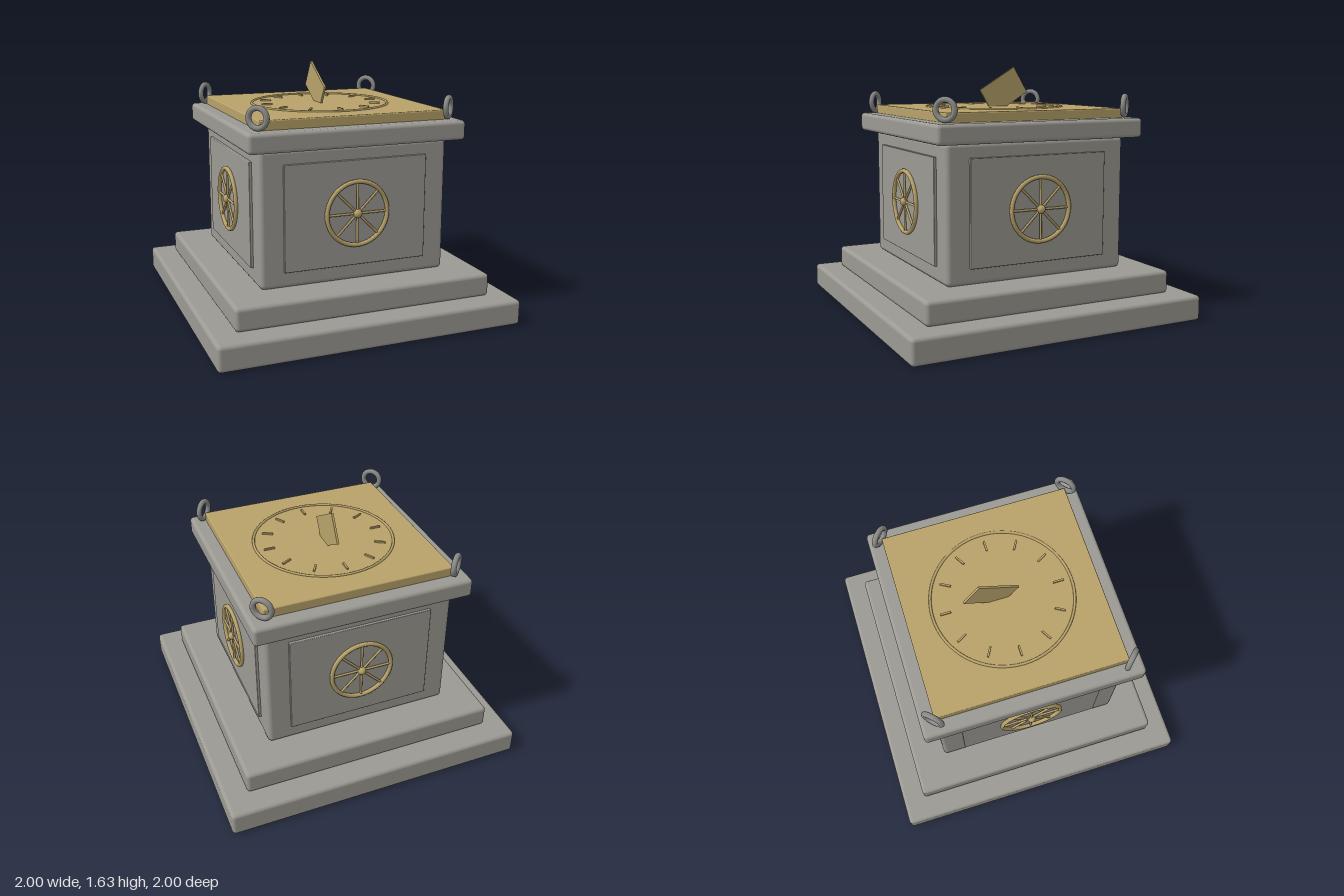
import * as THREE from 'three';
import { RoundedBoxGeometry } from 'three/addons/geometries/RoundedBoxGeometry.js';

const material = (name, color) => {
  const m = new THREE.MeshStandardMaterial({ color });
  m.name = name;
  return m;
};

export function createModel() {
  const stone = material('stone', 0x9c9a93);
  const brass = material('brass', 0xb8a26a);
  const iron = material('iron', 0x8a8a88);

  const model = new THREE.Group();
  model.name = 'sundialPedestal';

  const add = (parent, name, geometry, mat, x = 0, y = 0, z = 0) => {
    const mesh = new THREE.Mesh(geometry, mat);
    mesh.name = name;
    mesh.position.set(x, y, z);
    parent.add(mesh);
    return mesh;
  };

  // Square slab with softened edges, given by its bottom and top heights
  const slab = (name, width, y0, y1, radius, mat) =>
    add(model, name, new RoundedBoxGeometry(width, y1 - y0, width, 3, radius), mat, 0, (y0 + y1) / 2, 0);

  // Stepped stone pedestal and brass top plate
  slab('lowerStep', 2, 0, 0.165, 0.025, stone);
  slab('upperStep', 1.7, 0.165, 0.315, 0.025, stone);
  slab('body', 1.25, 0.315, 1.185, 0.03, stone);
  slab('cap', 1.43, 1.18, 1.305, 0.025, stone);
  slab('dialPlate', 1.245, 1.295, 1.365, 0.008, brass);

  // Raised panel with a spoked wheel on each of the four sides
  const panel = new RoundedBoxGeometry(0.95, 0.675, 0.04, 2, 0.005);
  const rim = new THREE.TorusGeometry(0.203, 0.014, 10, 48);
  const spoke = new THREE.CylinderGeometry(0.008, 0.008, 0.4, 8);
  const hub = new THREE.SphereGeometry(0.028, 16, 12);
  for (let i = 0; i < 4; i++) {
    const side = new THREE.Group();
    side.name = 'sidePanel';
    side.rotation.y = i * Math.PI / 2;
    model.add(side);
    add(side, 'panel', panel, stone, 0, 0.755, 0.623);

    const wheel = new THREE.Group();
    wheel.name = 'wheel';
    wheel.position.set(0, 0.755, 0.653);
    side.add(wheel);
    add(wheel, 'rim', rim, brass);
    add(wheel, 'hub', hub, brass, 0, 0, 0.004);
    for (let k = 0; k < 4; k++) add(wheel, 'spoke', spoke, brass).rotation.z = k * Math.PI / 4;
  }

  // Dial ring and twelve hour marks
  const dial = new THREE.Group();
  dial.name = 'dial';
  dial.position.y = 1.366;
  model.add(dial);
  add(dial, 'dialRing', new THREE.TorusGeometry(0.455, 0.009, 8, 64), brass).rotation.x = Math.PI / 2;
  const mark = new THREE.BoxGeometry(0.012, 0.014, 0.07);
  for (let i = 0; i < 12; i++) {
    const a = i * Math.PI / 6;
    add(dial, 'hourMark', mark, brass, 0.37 * Math.sin(a), 0.003, 0.37 * Math.cos(a)).rotation.y = a;
  }

  // Tilted shadow blade, its lower corner sunk into the plate
  add(model, 'gnomon', new THREE.BoxGeometry(0.014, 0.198, 0.298), brass, 0, 1.4675, -0.0725)
    .rotation.x = THREE.MathUtils.degToRad(31);

  // Lifting rings, facing outward along the diagonals
  const ring = new THREE.TorusGeometry(0.06, 0.018, 12, 32);
  for (const x of [-0.63, 0.63]) {
    for (const z of [-0.63, 0.63]) {
      add(model, 'cornerRing', ring, iron, x, 1.383, z).rotation.y = Math.atan2(x, z);
    }
  }

  return model;
}
